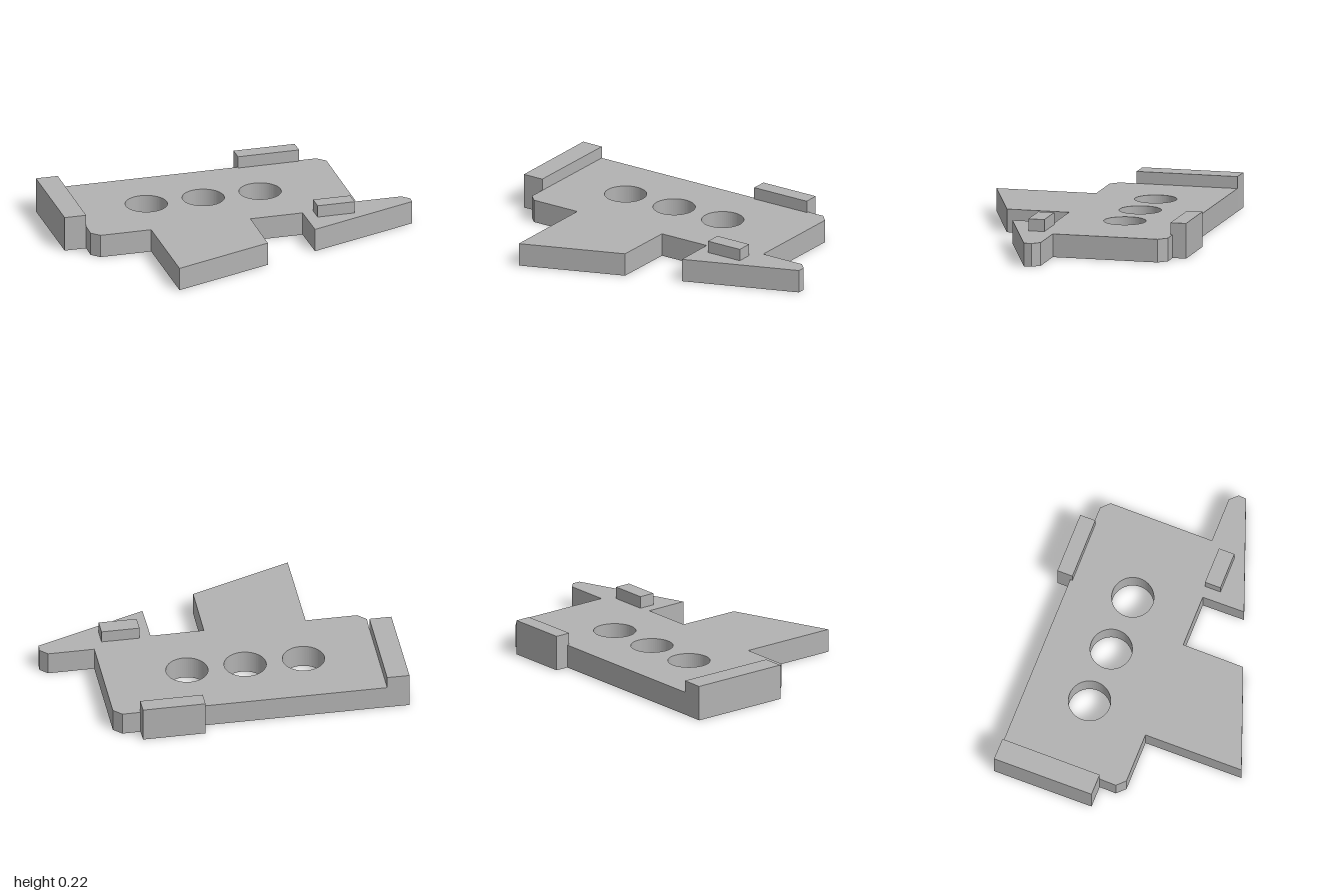
import * as THREE from 'three';

const TOP = 0.145; // plate thickness
const RIM = 0.22;  // top of the raised blocks

// Extrude a plan outline of [x, z] points upward from y0 to y1
function slab(name, points, y0, y1, material, holes = []) {
  const shape = new THREE.Shape(points.map(([x, z]) => new THREE.Vector2(x, -z)));
  for (const [x, z, r] of holes) {
    shape.holes.push(new THREE.Path().absarc(x, -z, r, 0, Math.PI * 2, true));
  }
  const geometry = new THREE.ExtrudeGeometry(shape, {
    depth: y1 - y0, bevelEnabled: false, curveSegments: 32,
  });
  geometry.rotateX(-Math.PI / 2).translate(0, y0, 0);
  const mesh = new THREE.Mesh(geometry, material);
  mesh.name = name;
  return mesh;
}

export function createModel() {
  const group = new THREE.Group();
  group.name = 'slottedBracketPlate';
  const grey = new THREE.MeshStandardMaterial({ color: 0xb2b2b2 });
  grey.name = 'light grey';

  // Main plate with side wing, pointed finger and three round holes
  group.add(slab('plate', [
    [-0.71, 0.64], [-0.11, 0.865], [-0.01, 0.905], [0.055, 0.875],
    [0.167, 0.573], [0.76, 0.793], [0.76, 0.12], [0.39, -0.02],
    [0.505, -0.332], [0.76, -0.24], [0.76, -0.98], [0.715, -1],
    [0.655, -0.973], [0.555, -0.703], [-0.07, -0.937], [-0.135, -0.907],
  ], 0, TOP, grey, [
    [0.075, -0.325, 0.13], [-0.052, 0.015, 0.13], [-0.18, 0.355, 0.13],
  ]));

  // Full-height blocks on the front and left edges
  group.add(slab('frontBlock', [
    [-0.71, 0.64], [-0.76, 0.77], [-0.158, 0.993], [-0.11, 0.865],
  ], 0, RIM, grey));
  group.add(slab('sideBlock', [
    [-0.255, -0.83], [-0.39, -0.465], [-0.297, -0.43], [-0.162, -0.797],
  ], 0, RIM, grey));

  // Small block standing on the finger
  group.add(slab('fingerBlock', [
    [0.6, -0.625], [0.517, -0.403], [0.613, -0.368], [0.695, -0.59],
  ], TOP, RIM, grey));

  return group;
}
